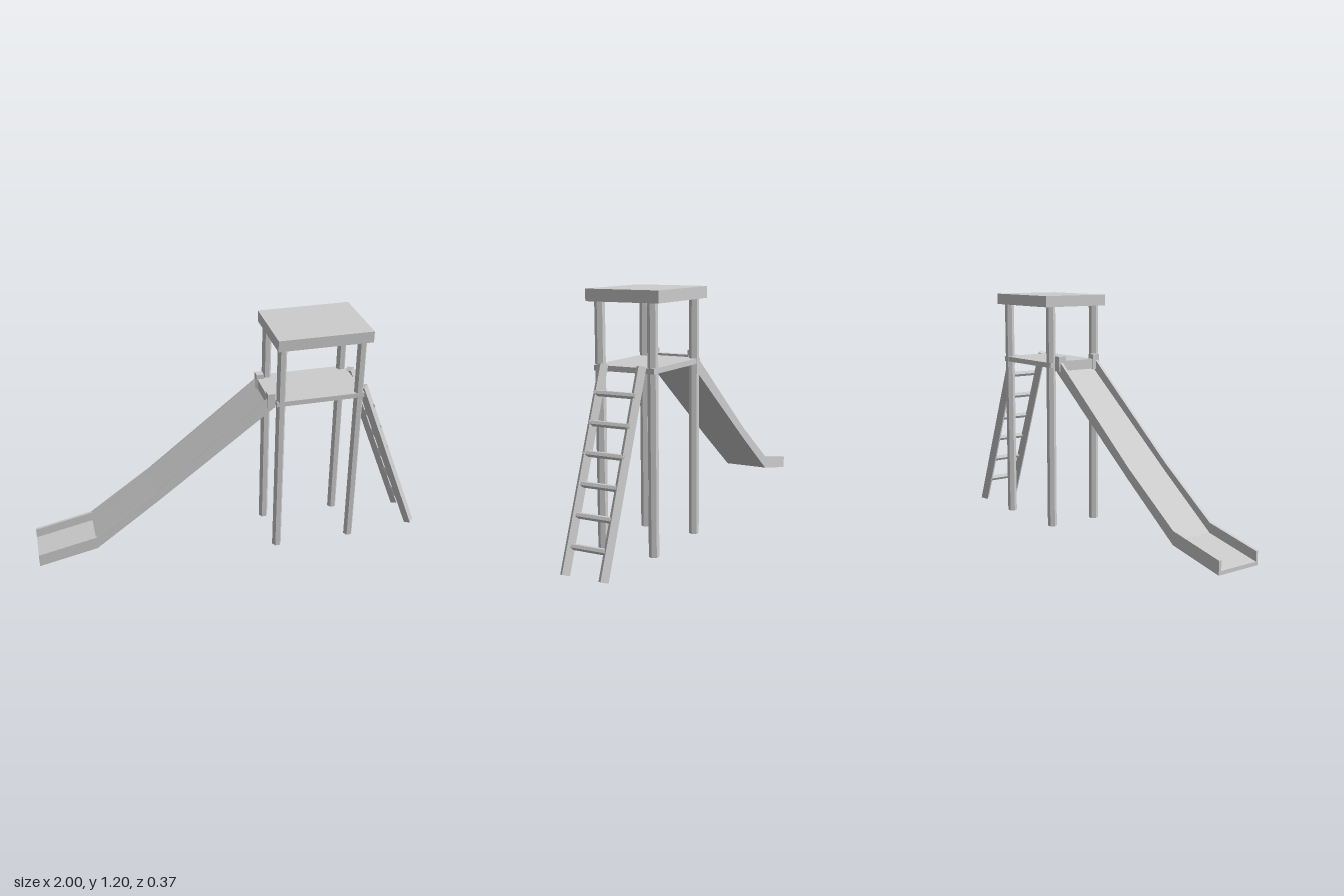
import * as THREE from 'three';

export function createModel() {
  const model = new THREE.Group();
  model.name = 'playgroundSlide';
  const grey = new THREE.MeshStandardMaterial({ color: 0xcccccc });
  grey.name = 'plain grey';

  const add = (name, geometry, parent = model) => {
    const mesh = new THREE.Mesh(geometry, grey);
    mesh.name = name;
    parent.add(mesh);
    return mesh;
  };

  // Box given by its minimum and maximum corners
  const box = (name, x0, x1, y0, y1, z0, z1) => {
    const mesh = add(name, new THREE.BoxGeometry(x1 - x0, y1 - y0, z1 - z0));
    mesh.position.set((x0 + x1) / 2, (y0 + y1) / 2, (z0 + z1) / 2);
    return mesh;
  };

  // Faceted bar along y, with a corner facing +x
  const bar = (radius, length, sides) => {
    const g = new THREE.CylinderGeometry(radius, radius, length, sides).rotateY(Math.PI / 2).toNonIndexed();
    g.computeVertexNormals();
    return g;
  };

  // Side outline pulled across z
  const slab = (name, points, z0, z1, parent) => {
    const shape = new THREE.Shape(points.map(([x, y]) => new THREE.Vector2(x, y)));
    const g = new THREE.ExtrudeGeometry(shape, { depth: z1 - z0, bevelEnabled: false });
    return add(name, g.translate(0, 0, z0), parent);
  };

  // Tower: roof, deck and four hexagonal posts
  box('roof', 0.183, 0.647, 1.15, 1.205, -0.183, 0.183);
  box('deck', 0.193, 0.635, 0.845, 0.87, -0.152, 0.152);
  for (const x of [0.217, 0.61]) {
    for (const z of [-0.133, 0.133]) {
      add('post', bar(0.0235, 1.14, 6)).position.set(x, 0.59, z);
    }
  }

  // Slide: floor sheet between two side walls
  const slide = new THREE.Group();
  slide.name = 'slide';
  model.add(slide);
  const lower = [[-1, 0.08], [-0.71, 0.14], [-0.395, 0.373], [0.185, 0.82]];
  const upper = [[-1, 0.145], [-0.71, 0.205], [-0.395, 0.43], [0.165, 0.88]];
  const floorTop = lower.map(([x, y]) => [x, y + 0.018]);
  slab('slideFloor', [...lower, ...floorTop.reverse()], -0.105, 0.105, slide);
  const wall = [...lower, [0.185, 0.88], ...upper.slice().reverse()];
  slab('slideWall', wall, 0.103, 0.117, slide);
  slab('slideWall', wall, -0.117, -0.103, slide);

  // Bracket joining slide and deck
  box('bracketCrossbar', 0.16, 0.193, 0.83, 0.88, -0.09, 0.09);
  for (const s of [-1, 1]) {
    const z = s * 0.105;
    box('bracketBlock', 0.155, 0.192, 0.828, 0.903, z - 0.02, z + 0.02);
  }

  // Ladder: two leaning diamond rails and six rungs
  const ladder = new THREE.Group();
  ladder.name = 'ladder';
  model.add(ladder);
  const foot = new THREE.Vector2(0.973, 0.013);
  const head = new THREE.Vector2(0.644, 0.876);
  const run = head.clone().sub(foot);
  const middle = foot.clone().add(head).multiplyScalar(0.5);
  for (const z of [-0.096, 0.096]) {
    const rail = add('ladderRail', bar(0.025, run.length(), 4), ladder);
    rail.position.set(middle.x, middle.y, z);
    rail.rotation.z = Math.atan2(-run.x, run.y);
  }
  for (let i = 0; i < 6; i++) {
    const y = 0.13 + i * 0.1255;
    const t = (y - foot.y) / run.y;
    const rung = add('ladderRung', bar(0.0145, 0.206, 6), ladder);
    rung.position.set(foot.x + run.x * t + 0.002 + i * 0.0025, y, 0);
    rung.rotation.x = Math.PI / 2;
  }

  return model;
}
